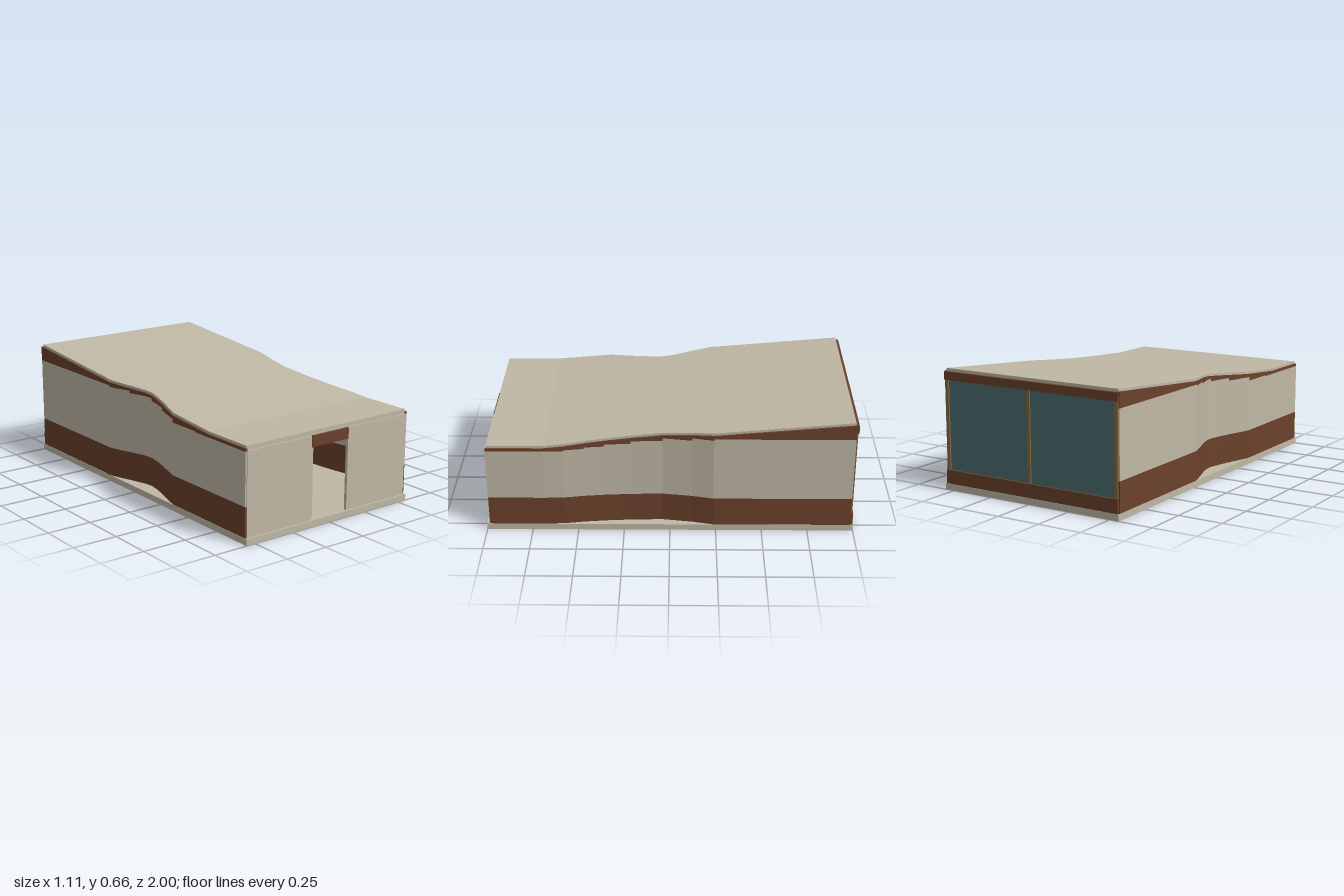
import * as THREE from 'three';
import { mergeGeometries } from 'three/addons/utils/BufferGeometryUtils.js';

const mat = (name, color) => {
  const m = new THREE.MeshStandardMaterial({ color });
  m.name = name;
  return m;
};

// Solid through rectangular sections { z, x0, x1, y0, y1 }, listed from front to back
function loft(rings) {
  const pts = rings.map(({ z, x0, x1, y0, y1 }) => [[x0, y0, z], [x1, y0, z], [x1, y1, z], [x0, y1, z]]);
  const out = [];
  const quad = (a, b, c, d) => out.push(...a, ...b, ...c, ...a, ...c, ...d);
  quad(...pts[0]);
  for (let i = 0; i + 1 < pts.length; i++) {
    const a = pts[i], b = pts[i + 1];
    for (let j = 0; j < 4; j++) {
      const k = (j + 1) % 4;
      quad(a[j], b[j], b[k], a[k]);
    }
  }
  quad(...[...pts[pts.length - 1]].reverse());
  const g = new THREE.BufferGeometry();
  g.setAttribute('position', new THREE.Float32BufferAttribute(out, 3));
  g.computeVertexNormals();
  return g;
}

// Roof surface: level at the front, then rising to the back
const roofTop = (z) => 0.515 + Math.max(0, 0.68 - z) * 0.0875;

// Stepped top edge of the pale wall panels
const panelTop = (z) => {
  if (z > 0.57) return 0.487;
  if (z < -0.235) return 0.565;
  return [[0.46, 0.492], [0.35, 0.5], [0.21, 0.512], [0.04, 0.527], [-0.12, 0.543], [-1, 0.557]]
    .find(([end]) => z > end)[1];
};

// Wall plans as [z, distance from centre line]
const leftPlan = [[0.985, 0.553], [0.68, 0.553], [0.57, 0.548], [0.46, 0.53], [0.35, 0.518],
  [0.21, 0.508], [0.04, 0.503], [-0.12, 0.527], [-0.235, 0.553], [-0.985, 0.553]];
const rightPlan = [[0.985, 0.553], [0.68, 0.553], [0.57, 0.553], [0.37, 0.553], [0.3, 0.533],
  [0.21, 0.506], [0.12, 0.483], [0.06, 0.473], [0, 0.479], [-0.1, 0.51], [-0.16, 0.531],
  [-0.235, 0.553], [-0.985, 0.553]];

const planAt = (plan, z) => {
  const i = Math.max(1, plan.findIndex((p) => p[0] <= z));
  const [za, xa] = plan[i - 1], [zb, xb] = plan[i];
  return xa + (xb - xa) * (za - z) / (za - zb);
};

// One horizontal band of a side wall; heights come from bottom(z, mid) and top(z, mid)
function band(plan, side, bottom, top) {
  const parts = [];
  for (let i = 0; i + 1 < plan.length; i++) {
    const mid = (plan[i][0] + plan[i + 1][0]) / 2;
    parts.push(loft([plan[i], plan[i + 1]].map(([z, d]) => ({
      z,
      x0: side > 0 ? d - 0.012 : -d,
      x1: side > 0 ? d : -d + 0.012,
      y0: bottom(z, mid),
      y1: top(z, mid),
    }))));
  }
  return mergeGeometries(parts);
}

export function createModel() {
  const model = new THREE.Group();
  model.name = 'pavilion';
  const plaster = mat('pale plaster', 0xc0b8a5);
  const wood = mat('dark brown cladding', 0x6b412b);
  const glass = mat('teal glass', 0x4c6e70);
  const frame = mat('tan frame', 0x86683f);

  const add = (name, geometry, material) => {
    const mesh = new THREE.Mesh(geometry, material);
    mesh.name = name;
    model.add(mesh);
  };
  // Box given by its limits
  const box = (name, x0, x1, y0, y1, z0, z1, material) => {
    const g = new THREE.BoxGeometry(x1 - x0, y1 - y0, z1 - z0);
    g.translate((x0 + x1) / 2, (y0 + y1) / 2, (z0 + z1) / 2);
    add(name, g, material);
  };

  box('baseSlab', -0.555, 0.555, 0, 0.035, -1, 1, plaster);

  // Curved side walls in three bands
  for (const [side, plan, label] of [[1, leftPlan, 'left'], [-1, rightPlan, 'right']]) {
    add(label + 'Plinth', band(plan, side, () => 0.035, () => 0.2), wood);
    add(label + 'WallPanel', band(plan, side, () => 0.2, (z, mid) => panelTop(mid)), plaster);
    add(label + 'Fascia', band(plan, side, (z, mid) => panelTop(mid), (z) => roofTop(z) - 0.013), wood);
  }

  // Roof following both wall curves
  const rows = [...new Set([...leftPlan, ...rightPlan].map((p) => p[0]))].sort((a, b) => b - a);
  add('roof', loft(rows.map((z) => ({
    z: z * 0.995,
    x0: -planAt(rightPlan, z) + 0.01,
    x1: planAt(leftPlan, z) - 0.01,
    y0: roofTop(z) - 0.025,
    y1: roofTop(z),
  }))), plaster);

  // Front wall with open doorway
  for (const s of [-1, 1]) {
    const [a, b] = [s * 0.125, s * 0.544].sort((p, q) => p - q);
    box('frontWall', a, b, 0.035, 0.49, 0.972, 0.989, plaster);
  }
  box('doorLintel', -0.125, 0.125, 0.43, 0.49, 0.972, 0.992, wood);

  // Interior partitions
  box('corridorWall', -0.125, -0.1, 0.035, 0.43, 0.45, 0.972, plaster);
  box('innerPartition', -0.1, 0.055, 0.035, 0.395, 0.12, 0.14, plaster);
  box('partitionCap', -0.1, 0.055, 0.395, 0.41, 0.12, 0.14, wood);
  box('lowPartition', 0.09, 0.125, 0.035, 0.28, 0, 0.3, plaster);
  box('floorPanel', -0.09, 0.055, 0.035, 0.039, 0.6, 0.78, glass);

  // Glazed back wall
  box('backSill', -0.548, 0.548, 0.035, 0.11, -0.998, -0.975, wood);
  box('backHeader', -0.548, 0.548, 0.6, 0.645, -0.998, -0.975, wood);
  box('backGlass', -0.54, 0.54, 0.11, 0.6, -0.985, -0.978, glass);
  for (const x of [-0.535, 0, 0.535]) {
    box('mullion', x - 0.01, x + 0.01, 0.11, 0.6, -0.993, -0.972, frame);
  }
  return model;
}
